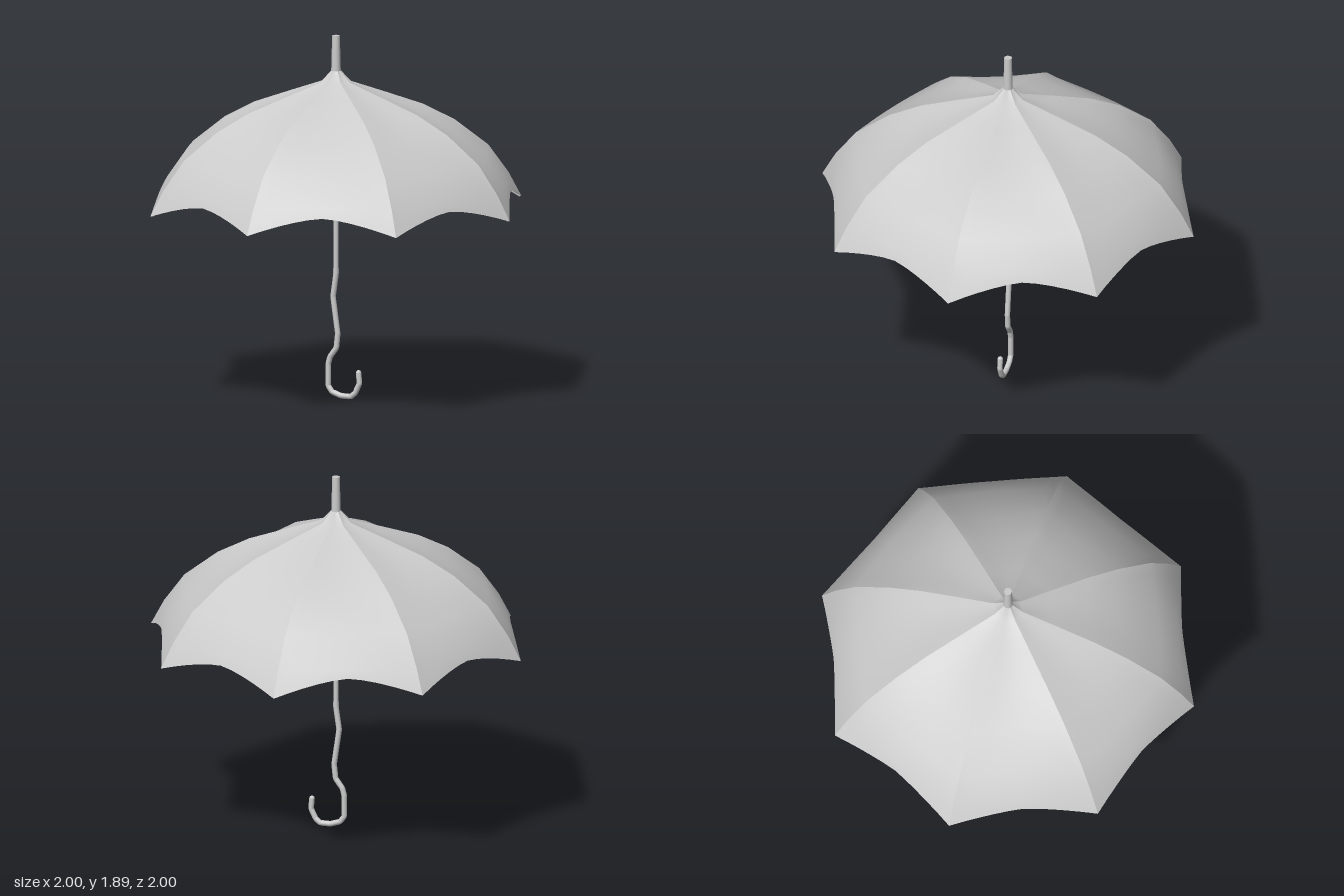
import * as THREE from 'three';
import { mergeGeometries, mergeVertices } from 'three/addons/utils/BufferGeometryUtils.js';

const RIBS = 8;
const STEP = (Math.PI * 2) / RIBS;
const material = new THREE.MeshStandardMaterial({ color: 0xcccccc });
const clothMaterial = new THREE.MeshStandardMaterial({ color: 0xcccccc, side: THREE.DoubleSide });

// Canopy seam as [radius, height], hem to crown
const SEAM = [[1, 1], [0.93, 1.13], [0.82, 1.28], [0.64, 1.42], [0.47, 1.51], [0.25, 1.59], [0.08, 1.65], [0.024, 1.71]];

function seamRadius(y) {
  const i = Math.max(1, SEAM.findIndex((p) => p[1] >= y - 1e-6));
  const [r0, y0] = SEAM[i - 1], [r1, y1] = SEAM[i];
  return r0 + ((r1 - r0) * (y - y0)) / (y1 - y0);
}

function add(group, name, geometry, mat = material) {
  const mesh = new THREE.Mesh(geometry, mat);
  mesh.name = name;
  group.add(mesh);
  return mesh;
}

// Tube along straight runs between points (zero tension keeps the bends crisp)
function tube(points, radius, segments, sides) {
  const path = new THREE.CatmullRomCurve3(points.map(([x, y]) => new THREE.Vector3(x, y, 0)), false, 'catmullrom', 0);
  return new THREE.TubeGeometry(path, segments, radius, sides);
}

// One cloth panel between two seams: arched hem, full at the hem, sagging towards the crown.
// An inset above zero gives the lining, which faces inwards and meets the cloth at the hem.
function panelGeometry(inset) {
  const cols = 10, positions = [], index = [];
  const half = STEP / 2;
  SEAM.forEach(([, level], row) => {
    for (let j = 0; j <= cols; j++) {
      const u = (j / cols) * 2 - 1;
      const y = row === 0 ? 1 + 0.09 * (1 - Math.abs(u) ** 1.5) : level;
      const fullness = 0.02 - 0.08 * THREE.MathUtils.smoothstep(y, 1.28, 1.5);
      const gap = row === 0 ? 0 : inset;
      const r = seamRadius(y) * (1 + fullness * (1 - u * u) ** 1.25) * (1 - gap);
      positions.push(r * Math.sin(half) * u, y - gap, r * Math.cos(half));
      if (row < SEAM.length - 1 && j < cols) {
        const a = row * (cols + 1) + j, c = a + cols + 1;
        if (inset) index.push(a, c, a + 1, a + 1, c, c + 1);
        else index.push(a, a + 1, c, a + 1, c + 1, c);
      }
    }
  });
  const geometry = new THREE.BufferGeometry();
  geometry.setAttribute('position', new THREE.Float32BufferAttribute(positions, 3));
  geometry.setIndex(index);
  return geometry;
}

// Lining joined across all seams so that it shades as one smooth bowl
function liningGeometry() {
  const panels = Array.from({ length: RIBS }, (_, i) => panelGeometry(0.008).rotateY((i + 0.5) * STEP));
  const geometry = mergeVertices(mergeGeometries(panels));
  geometry.computeVertexNormals();
  return geometry;
}

export function createModel() {
  const model = new THREE.Group();
  model.name = 'umbrella';

  // Canopy panels, lining and the wire frame under them
  const canopy = new THREE.Group();
  canopy.name = 'canopy';
  const frame = new THREE.Group();
  frame.name = 'frame';
  model.add(canopy, frame);
  const panel = panelGeometry(0);
  panel.computeVertexNormals();
  const rib = tube([[0.99, 1.002], [0.56, 1.275], [0.3, 1.362], [0.22, 1.358], [0.17, 1.32], [0.04, 1.18]], 0.005, 48, 6);
  for (let i = 0; i < RIBS; i++) {
    add(canopy, 'canopyPanel', panel, clothMaterial).rotation.y = (i + 0.5) * STEP;
    add(frame, 'rib', rib).rotation.y = i * STEP;
  }
  add(canopy, 'lining', liningGeometry());

  // Sliding hub that the ribs meet at
  const hub = [[0, 1.1], [0.04, 1.102], [0.06, 1.115], [0.07, 1.135], [0.07, 1.16], [0.06, 1.183], [0.042, 1.2], [0, 1.21]];
  add(frame, 'hub', new THREE.LatheGeometry(hub.map(([r, y]) => new THREE.Vector2(r, y)), 16));

  // Tip above the crown
  const tip = add(model, 'tip', new THREE.CylinderGeometry(0.02, 0.025, 0.19, 12));
  tip.position.y = 1.795;

  // Straight shaft, then a crooked lower stick ending in a hook
  const shaft = add(model, 'shaft', new THREE.CylinderGeometry(0.014, 0.014, 1.1, 10));
  shaft.position.y = 1.2;
  const hook = [
    [0, 0.68], [0, 0.65], [-0.017, 0.53], [0.01, 0.34], [0.002, 0.265], [-0.035, 0.215], [-0.044, 0.18],
    [-0.045, 0.065], [-0.022, 0.035], [0.03, 0.018], [0.085, 0.018], [0.11, 0.038], [0.135, 0.09], [0.13, 0.145],
  ];
  add(model, 'handle', tube(hook, 0.0145, 90, 10));
  const end = add(model, 'handleEnd', new THREE.SphereGeometry(0.0145, 10, 8));
  end.position.set(0.13, 0.145, 0);

  return model;
}
